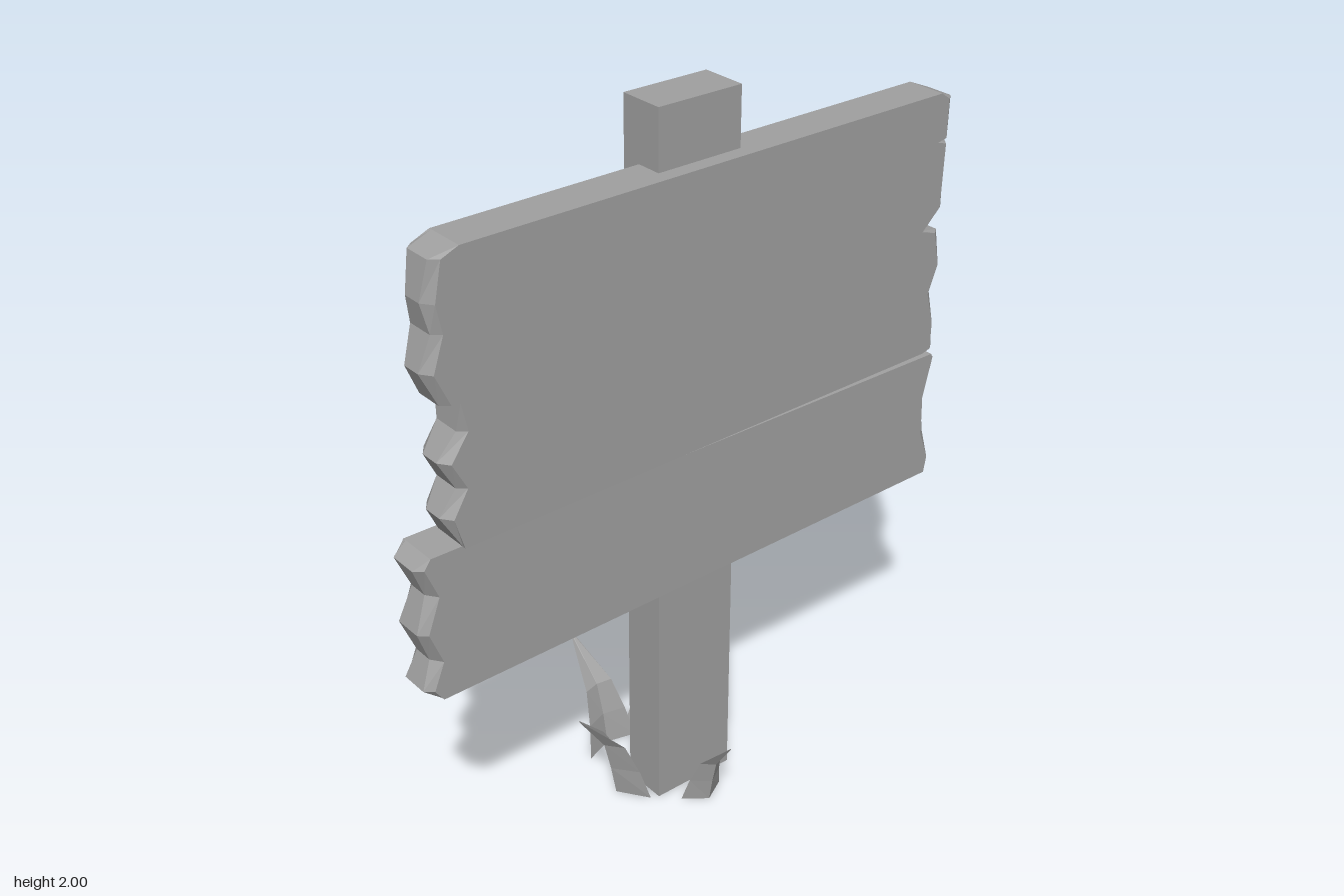
import * as THREE from 'three';

const stone = new THREE.MeshStandardMaterial({ color: 0xa0a0a0 });
stone.name = 'plain grey';

// Joins closed loops of equal length into a faceted solid, capped at both ends.
// Loops run counter-clockwise as seen from the first loop's end.
function loft(rings, caps) {
  const pos = [];
  const tri = (a, b, c) => pos.push(...a, ...b, ...c);
  const n = rings[0].length;
  for (let i = 0; i < rings.length - 1; i++) {
    for (let j = 0; j < n; j++) {
      const k = (j + 1) % n;
      const a = rings[i][j], b = rings[i][k], c = rings[i + 1][k], d = rings[i + 1][j];
      tri(a, d, c);
      tri(a, c, b);
    }
  }
  const first = rings[0], last = rings[rings.length - 1];
  for (const [a, b, c] of caps) {
    tri(first[a], first[b], first[c]);
    tri(last[c], last[b], last[a]);
  }
  const geo = new THREE.BufferGeometry();
  geo.setAttribute('position', new THREE.Float32BufferAttribute(pos, 3));
  geo.computeVertexNormals();
  return geo;
}

function mesh(name, geo) {
  const m = new THREE.Mesh(geo, stone);
  m.name = name;
  return m;
}

// Board with ragged, chamfered ends; both end profiles run top to bottom.
function board(name, left, right, zMid, half, skew) {
  const ends = [
    ...left.map((p, i) => ({ p, side: -1, corner: i === 0 || i === left.length - 1, i })),
    ...right.map((p, i) => ({ p, side: 1, corner: i === 0 || i === right.length - 1, i })).reverse(),
  ];
  const ring = (face, outer) => ends.map(({ p: [x, y], side, corner, i }) => {
    const depth = corner ? 0.008 : i % 2 ? 0.018 : 0.03;
    const inset = corner ? 0 : 0.022;
    const px = outer ? x - side * inset : x;
    const pz = face * (outer ? half : half - depth);
    return [px, y, zMid + pz + skew * px];
  });
  const rings = [ring(1, true), ring(1, false), ring(-1, false), ring(-1, true)];
  const outline = rings[0].map(([x, y]) => new THREE.Vector2(x, y));
  return mesh(name, loft(rings, THREE.ShapeUtils.triangulateShape(outline, [])));
}

// Curved grass blade leaning towards local +z, with a crescent section.
function blade(name, x, z, dx, dz, scale) {
  // height, half width, then outward offsets of ridge, inner fold and side edges
  const levels = [
    [0.235, 0.002, 0.137, 0.134, 0.135],
    [0.14, 0.035, 0.072, 0.052, 0.045],
    [0.07, 0.05, 0.055, 0.032, 0.018],
    [0, 0.064, 0.042, 0.02, 0],
  ];
  const rings = levels.map(([y, w, ridge, fold, edge]) =>
    [[0, y, ridge], [w, y, edge], [0, y, fold], [-w, y, edge]]);
  const m = mesh(name, loft(rings, [[2, 3, 0], [2, 0, 1]]));
  m.position.set(x, 0, z);
  m.rotation.y = Math.atan2(dx, dz);
  m.scale.setScalar(scale);
  return m;
}

export function createModel() {
  const group = new THREE.Group();
  group.name = 'signpost';

  // Upright post
  const post = mesh('post', new THREE.BoxGeometry(0.248, 2, 0.128));
  post.position.set(0.018, 1, 0.054);
  group.add(post);

  // Three boards stacked on the front of the post
  group.add(board('topBoard',
    [[-0.68, 1.84], [-0.75, 1.82], [-0.77, 1.72], [-0.755, 1.645], [-0.785, 1.555], [-0.745, 1.468], [-0.7, 1.467]],
    [[0.78, 1.845], [0.83, 1.825], [0.83, 1.72], [0.8, 1.714], [0.83, 1.705], [0.825, 1.53], [0.745, 1.475]],
    0.103, 0.057, 0));
  group.add(board('middleBoard',
    [[-0.7, 1.467], [-0.705, 1.39], [-0.755, 1.32], [-0.715, 1.245], [-0.757, 1.175], [-0.71, 1.09]],
    [[0.745, 1.475], [0.815, 1.46], [0.835, 1.365], [0.805, 1.285], [0.83, 1.195], [0.83, 1.115], [0.78, 1.108]],
    0.103, 0.057, 0));
  group.add(board('bottomBoard',
    [[-0.795, 1.087], [-0.835, 1.06], [-0.8, 0.975], [-0.835, 0.88], [-0.8, 0.79], [-0.83, 0.715], [-0.785, 0.682]],
    [[0.8, 1.107], [0.825, 1.085], [0.8, 0.98], [0.805, 0.86], [0.835, 0.78], [0.805, 0.732]],
    0.102, 0.057, 0.02));

  // Grass around the foot
  group.add(blade('frontGrass', 0, 0.17, -0.08, 1, 1));
  group.add(blade('backGrass', -0.07, -0.135, -0.06, -1, 1.31));
  group.add(blade('leftGrass', 0.055, -0.12, 0.9, -0.4, 1.31));
  group.add(blade('rightGrass', -0.13, 0.025, -1, 0.03, 1.31));
  return group;
}
